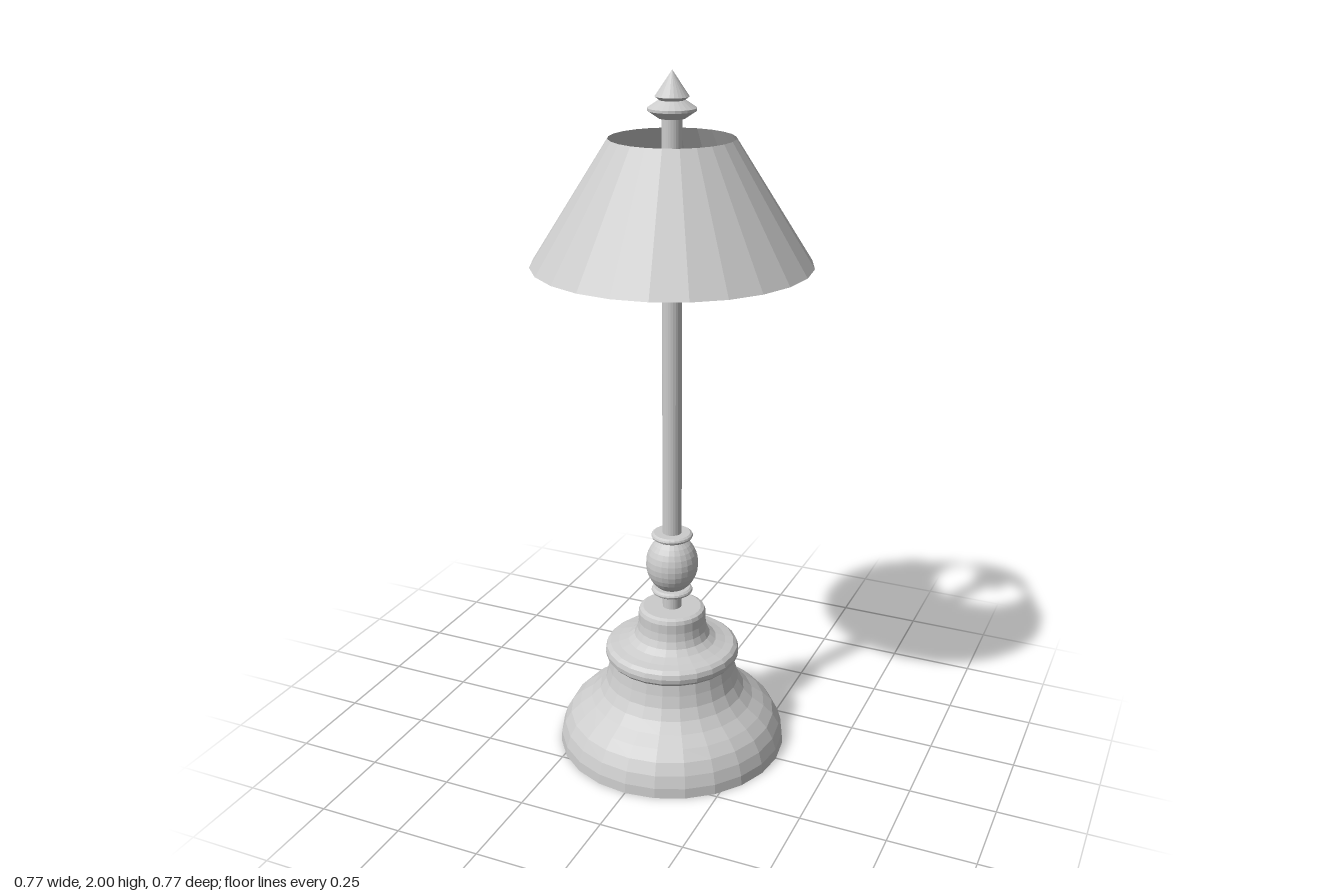
import * as THREE from 'three';

const SIDES = 24;

export function createModel() {
  const lamp = new THREE.Group();
  lamp.name = 'tableLamp';
  const solid = new THREE.MeshStandardMaterial({ color: 0xcccccc, flatShading: true });
  const thin = new THREE.MeshStandardMaterial({ color: 0xcccccc, flatShading: true, side: THREE.DoubleSide });

  const add = (name, geometry, y = 0, material = solid) => {
    const mesh = new THREE.Mesh(geometry, material);
    mesh.name = name;
    mesh.position.y = y;
    lamp.add(mesh);
    return mesh;
  };
  // Turned part from [radius, height] pairs, bottom to top
  const turned = (name, profile, sides = SIDES) =>
    add(name, new THREE.LatheGeometry(profile.map(([r, y]) => new THREE.Vector2(r, y)), sides));

  // Bell-shaped foot with a rolled collar and a short neck
  turned('base', [
    [0, 0], [0.34, 0], [0.338, 0.03], [0.327, 0.065], [0.308, 0.098], [0.28, 0.125],
    [0.245, 0.15], [0.218, 0.178], [0.2, 0.21], [0.19, 0.245], [0.184, 0.28],
    [0.19, 0.281], [0.198, 0.29], [0.2, 0.304], [0.196, 0.318], [0.185, 0.327],
    [0.16, 0.332], [0.132, 0.341], [0.113, 0.356], [0.104, 0.376], [0.1, 0.4],
    [0.1, 0.428], [0.096, 0.439], [0.086, 0.444], [0, 0.444],
  ]);

  // Stem running from the base up to the finial
  add('stem', new THREE.CylinderGeometry(0.028, 0.028, 1.46, SIDES), 1.16);

  // Egg-shaped knob between two thin rings
  add('knob', new THREE.SphereGeometry(0.077, SIDES, 16).scale(1, 1.16, 1), 0.585);
  for (const [name, y] of [['lowerRing', 0.499], ['upperRing', 0.675]]) {
    turned(name, [
      [0, y - 0.009], [0.053, y - 0.009], [0.059, y - 0.005], [0.061, y],
      [0.059, y + 0.005], [0.053, y + 0.009], [0, y + 0.009],
    ]);
  }

  // Open conical shade
  add('shade', new THREE.CylinderGeometry(0.171, 0.387, 0.34, SIDES, 1, true), 1.655, thin);

  // Finial: double-bevelled disc with a pointed cap
  turned('finialDisc', [
    [0, 1.876], [0.036, 1.876], [0.066, 1.896], [0.066, 1.903], [0.036, 1.923], [0, 1.923],
  ]);
  turned('finialTip', [[0, 1.923], [0.034, 1.923], [0.046, 1.932], [0, 2]]);

  return lamp;
}
